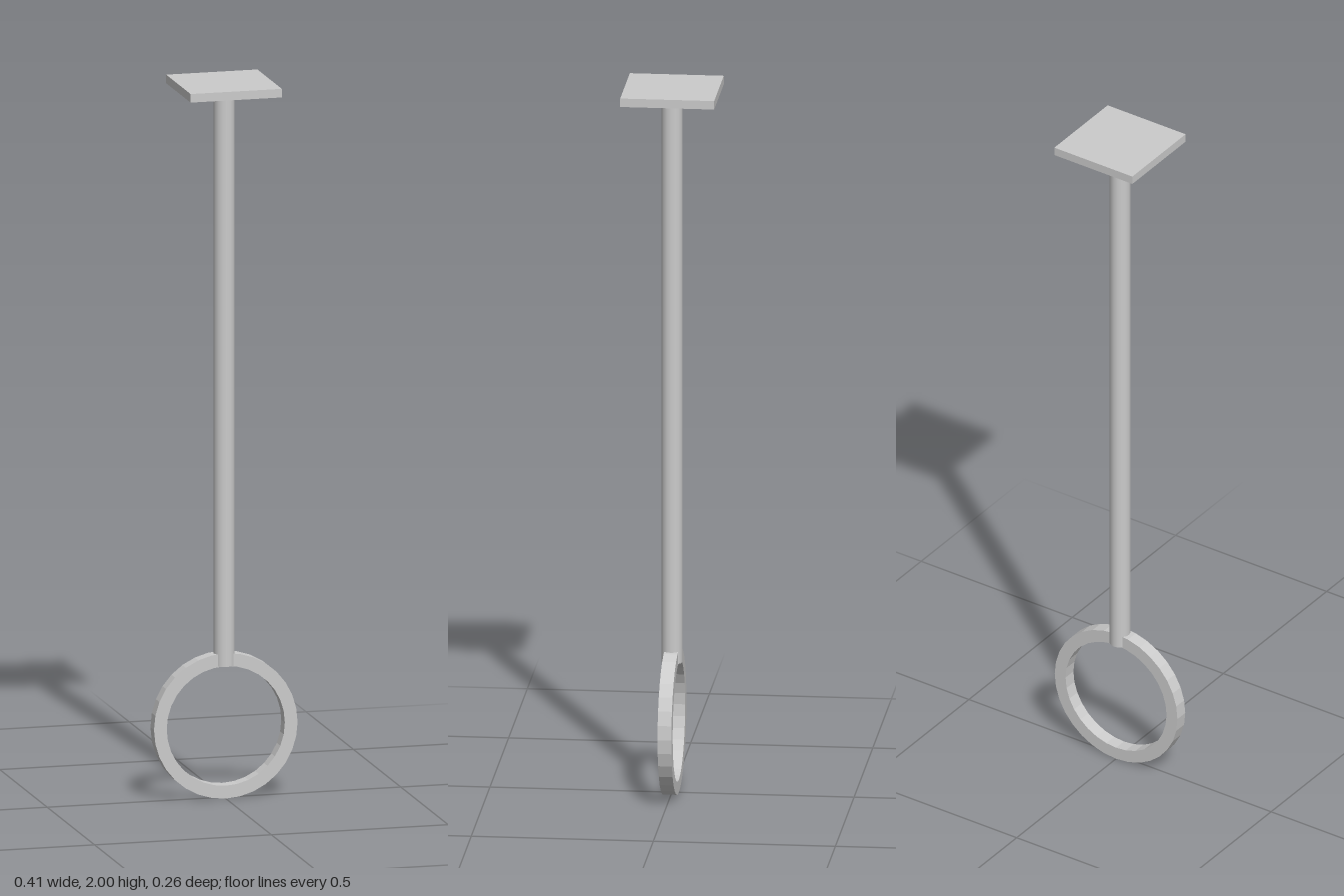
import * as THREE from 'three';

export function createModel() {
  const group = new THREE.Group();
  const smooth = new THREE.MeshStandardMaterial({ color: 0xcccccc });
  const flat = new THREE.MeshStandardMaterial({ color: 0xcccccc, flatShading: true });

  const add = (name, geometry, material, y) => {
    const mesh = new THREE.Mesh(geometry, material);
    mesh.name = name;
    mesh.position.y = y;
    group.add(mesh);
  };

  // Square plate at the top
  const plateSize = 0.258, plateHeight = 0.024;
  add('mountingPlate', new THREE.BoxGeometry(plateSize, plateHeight, plateSize), flat, 2 - plateHeight / 2);

  // Round rod from the plate down through the ring's band
  const rodTop = 2 - plateHeight, rodBottom = 0.37;
  add('rod', new THREE.CylinderGeometry(0.029, 0.029, rodTop - rodBottom, 16), smooth, (rodTop + rodBottom) / 2);

  // Flat-sided ring: a rectangular section turned about the z axis
  const outer = 0.203, inner = 0.167, half = 0.019;
  const section = [[inner, -half], [outer, -half], [outer, half], [inner, half], [inner, -half]]
    .map(([r, h]) => new THREE.Vector2(r, h));
  const ring = new THREE.LatheGeometry(section, 32);
  ring.rotateX(Math.PI / 2);
  add('ring', ring, flat, outer);

  return group;
}
